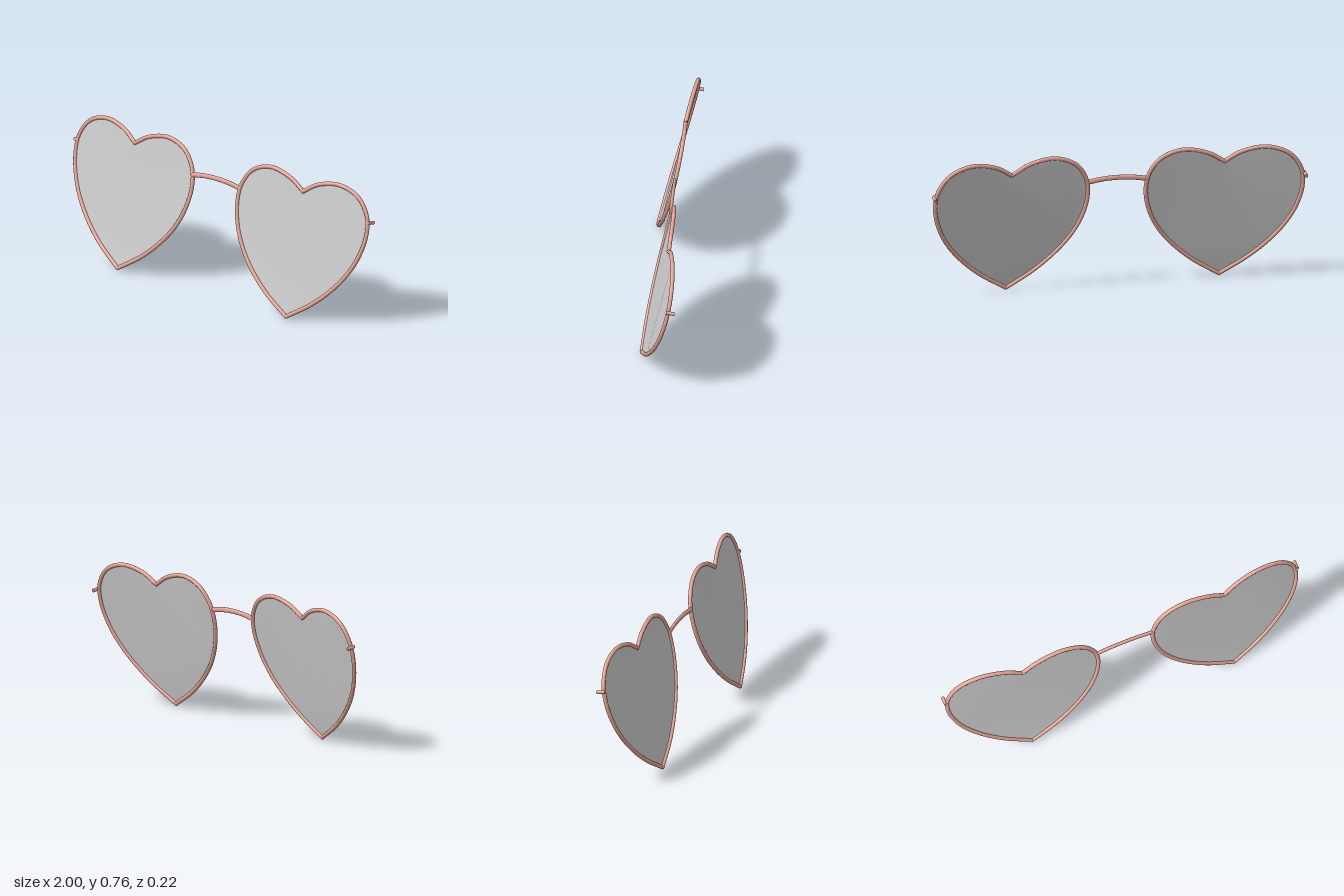
import * as THREE from 'three';

const RIM = 0.0108;       // rim wire radius
const CENTRE = 0.567;     // x of each heart's axis

const metal = new THREE.MeshStandardMaterial({ color: 0xe6a596 });
const glass = new THREE.MeshStandardMaterial({ color: 0xcccccc, side: THREE.DoubleSide });

// Heart outline halves, from the notch down to the tip
const outerHalf = [[0.567, 0.67], [0.655, 0.723], [0.786, 0.745], [0.905, 0.702], [0.97, 0.61],
  [0.979, 0.51], [0.952, 0.4], [0.9, 0.3], [0.818, 0.2], [0.71, 0.106], [0.567, 0.015]];
const innerHalf = [[0.567, 0.67], [0.475, 0.724], [0.342, 0.75], [0.23, 0.71], [0.168, 0.625],
  [0.154, 0.53], [0.178, 0.41], [0.233, 0.3], [0.316, 0.2], [0.424, 0.106], [0.567, 0.015]];

// Tilted lens surface that wraps backwards towards the temples
function depth(x, y) {
  const d = Math.abs(x) - CENTRE;
  return 0.103 - 0.214 * y - 0.065 * d - 0.125 * d * d;
}

function halfCurve(points, s) {
  return new THREE.CatmullRomCurve3(
    points.map(([x, y]) => new THREE.Vector3(s * x, y, depth(x, y))), false, 'centripetal');
}

function add(group, name, geometry, material) {
  const mesh = new THREE.Mesh(geometry, material);
  mesh.name = name;
  group.add(mesh);
  return mesh;
}

function createEyepiece(s) {
  const group = new THREE.Group();
  group.name = s > 0 ? 'leftEyepiece' : 'rightEyepiece';
  const outer = halfCurve(outerHalf, s);
  const inner = halfCurve(innerHalf, s);

  // Rim wire, with round joints at the notch and the tip
  add(group, 'outerRim', new THREE.TubeGeometry(outer, 72, RIM, 12), metal);
  add(group, 'innerRim', new THREE.TubeGeometry(inner, 72, RIM, 12), metal);
  for (const [name, t] of [['notchJoint', 0], ['tipJoint', 1]]) {
    add(group, name, new THREE.SphereGeometry(RIM, 12, 8), metal).position.copy(outer.getPoint(t));
  }

  // Lens filling the outline, bent to the same surface
  const outline = [...outer.getSpacedPoints(48), ...inner.getSpacedPoints(48).reverse().slice(1, -1)];
  const lens = new THREE.ShapeGeometry(new THREE.Shape(outline.map(p => new THREE.Vector2(p.x, p.y))));
  const pos = lens.attributes.position;
  for (let i = 0; i < pos.count; i++) pos.setZ(i, depth(pos.getX(i), pos.getY(i)));
  lens.computeVertexNormals();
  add(group, 'lens', lens, glass);

  // Short hinge stub pointing back from the outer edge
  const stub = new THREE.LineCurve3(
    new THREE.Vector3(s * 0.988, 0.587, -0.059), new THREE.Vector3(s * 0.988, 0.578, -0.104));
  add(group, 'hingeStub', new THREE.TubeGeometry(stub, 1, 0.0095, 12), metal);
  const cap = add(group, 'hingeCap', new THREE.CircleGeometry(0.0095, 12), metal);
  cap.position.copy(stub.v2);
  cap.lookAt(stub.v2.clone().add(stub.getTangent(1)));
  const frontCap = add(group, 'hingeFrontCap', new THREE.CircleGeometry(0.0095, 12), metal);
  frontCap.position.copy(stub.v1);
  frontCap.lookAt(stub.v1.clone().sub(stub.getTangent(0)));
  return group;
}

export function createModel() {
  const model = new THREE.Group();
  model.name = 'heartGlasses';
  model.add(createEyepiece(1), createEyepiece(-1));

  // Gently arched bridge, flattened front to back
  const arch = new THREE.CatmullRomCurve3([[-0.157, 0.597], [-0.08, 0.609], [0, 0.613], [0.08, 0.609], [0.157, 0.597]]
    .map(([x, y]) => new THREE.Vector3(x, y, 0)));
  const bridge = add(model, 'bridge', new THREE.TubeGeometry(arch, 32, 0.0135, 12), metal);
  bridge.scale.z = 0.65;
  bridge.position.z = -0.017;
  return model;
}
